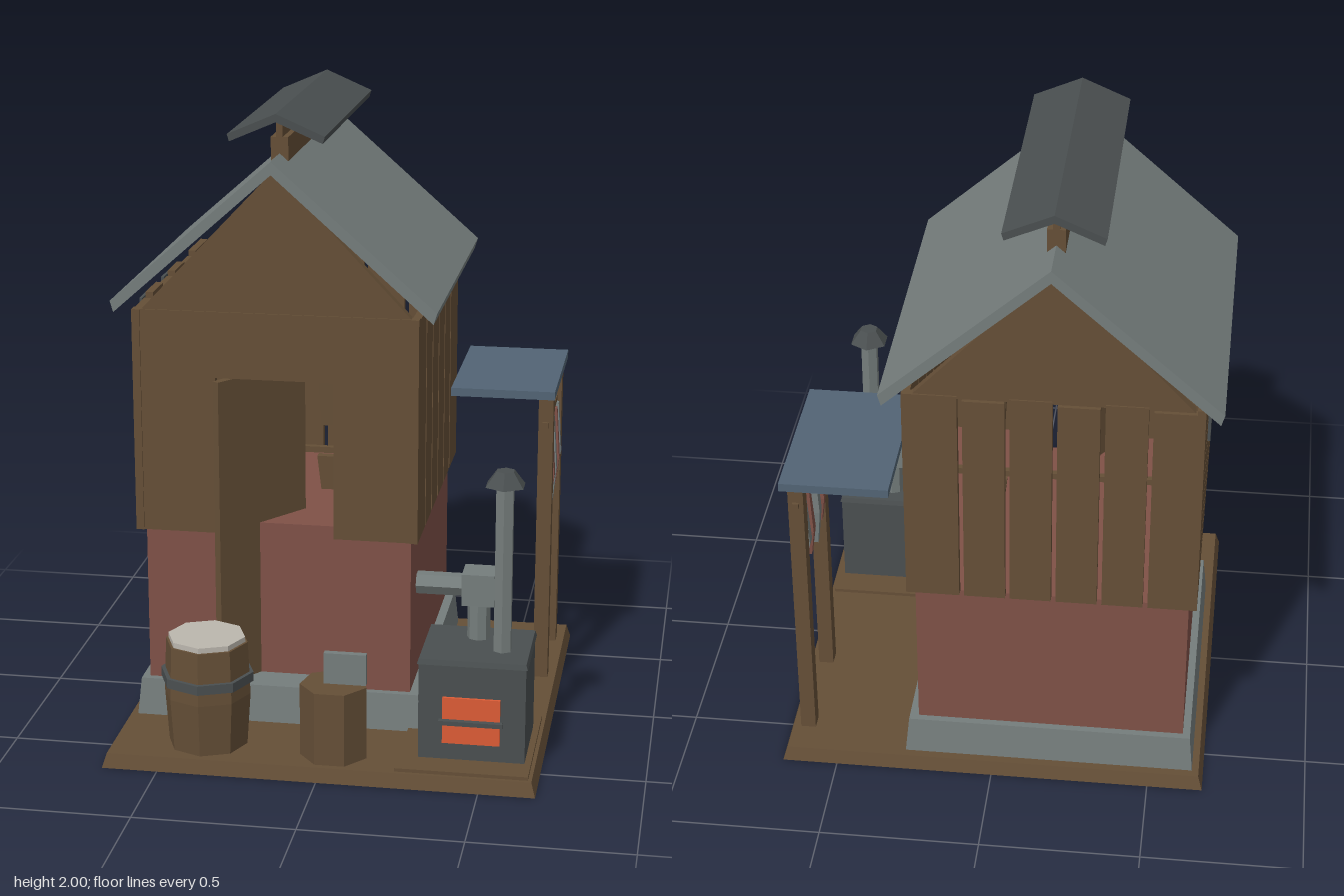
import * as THREE from 'three';

const mat = (name, color) => {
  const m = new THREE.MeshStandardMaterial({ color });
  m.name = name;
  return m;
};

export function createModel() {
  const wood = mat('brown wood', 0x654f37);
  const brick = mat('red brick', 0x7f5147);
  const grey = mat('grey metal', 0x757d7c);
  const dark = mat('dark iron', 0x4a4f50);
  const blue = mat('blue sheet', 0x526475);
  const ember = mat('ember orange', 0xdc5c36);
  const salt = mat('pale salt', 0xbcb7ae);

  const model = new THREE.Group();
  model.name = 'smokehouse';

  const add = (name, geo, material, x = 0, y = 0, z = 0, parent = model) => {
    const m = new THREE.Mesh(geo, material);
    m.name = name;
    m.position.set(x, y, z);
    parent.add(m);
    return m;
  };

  // Box from its extents; the top or bottom can be narrowed
  const box = (name, material, x0, x1, y0, y1, z0, z1, topScale = 1, bottomScale = 1) => {
    const g = new THREE.BoxGeometry(x1 - x0, y1 - y0, z1 - z0);
    const p = g.attributes.position;
    for (let i = 0; i < p.count; i++) {
      const s = p.getY(i) > 0 ? topScale : bottomScale;
      p.setX(i, p.getX(i) * s);
      p.setZ(i, p.getZ(i) * s);
    }
    g.computeVertexNormals();
    return add(name, g, material, (x0 + x1) / 2, (y0 + y1) / 2, (z0 + z1) / 2);
  };

  // Faceted upright cylinder
  const prism = (name, material, rTop, rBottom, sides, x, y0, y1, z) =>
    add(name, new THREE.CylinderGeometry(rTop, rBottom, y1 - y0, sides).toNonIndexed(),
      material, x, (y0 + y1) / 2, z).geometry.computeVertexNormals();

  // XY outline pushed along z
  const extrude = (name, material, pts, z0, z1) => {
    const shape = new THREE.Shape(pts.map(([x, y]) => new THREE.Vector2(x, y)));
    return add(name, new THREE.ExtrudeGeometry(shape, { depth: z1 - z0, bevelEnabled: false }),
      material, 0, 0, z0);
  };

  const CX = -0.18;

  // Ground platform and footing
  box('platform', wood, -0.675, 0.675, 0, 0.045, -0.675, 0.675, 0.98);
  box('footing', grey, -0.64, 0.28, 0.045, 0.165, -0.635, 0.345, 0.975);

  // Brick lower walls with a recess behind the doorway
  box('brickLeft', brick, -0.605, -0.37, 0.165, 0.675, -0.6, 0.31);
  box('brickMiddle', brick, -0.37, 0, 0.165, 0.675, -0.6, 0.22);
  box('brickRight', brick, 0, 0.24, 0.165, 0.675, -0.6, 0.31);

  // Front wall around the doorway
  box('frontPanelLeft', wood, -0.605, -0.37, 0.675, 1.39, 0.31, 0.34);
  box('frontPanelRight', wood, 0, 0.24, 0.675, 1.39, 0.31, 0.34);
  box('lintel', wood, -0.37, 0, 1.18, 1.39, 0.31, 0.34);
  for (const [x0, x1] of [[-0.63, -0.605], [0.24, 0.265]])
    box('cornerBoard', wood, x0, x1, 0.675, 1.39, 0.31, 0.345);

  // Spaced boards on both sides and the back
  for (let i = 0; i < 6; i++) {
    const z = 0.31 - i * 0.15;
    const zEnd = i === 5 ? -0.625 : z - 0.134;
    const top = 1.385 + (i % 2) * 0.015;
    box('leftBoard', wood, -0.63, -0.605, 0.675, top, zEnd, z);
    box('rightBoard', wood, 0.24, 0.265, 0.675, top, zEnd, z);
    const x = -0.605 + i * 0.141;
    box('backBoard', wood, x, x + (i === 5 ? 0.14 : 0.126), 0.675, top, -0.625, -0.6);
  }

  // Iron patches on the left wall
  box('patchLow', dark, -0.64, -0.631, 1.09, 1.39, -0.31, -0.09);
  box('patchHigh', dark, -0.64, -0.631, 1.215, 1.39, -0.02, 0.2);

  // Door leaf standing ajar into the house
  const door = new THREE.Group();
  door.name = 'door';
  door.position.set(-0.365, 0, 0.345);
  door.rotation.y = 0.94;
  model.add(door);
  add('doorLeaf', new THREE.BoxGeometry(0.37, 1.12, 0.025), wood, 0.18, 0.61, 0, door);

  // Smoking rods with hanging cuts inside
  for (const y of [1.15, 0.815]) {
    box('smokingRod', wood, -0.605, 0.24, y - 0.01, y + 0.01, -0.155, -0.135);
    for (let i = 0; i < 5; i++) {
      const x = -0.51 + i * 0.14 + (i > 2 ? 0.0 : -0.01);
      const low = Math.max(y - 0.25, 0.68);
      box('hangingCut', wood, x - 0.045, x + 0.045, low, y - 0.02, -0.16, -0.13, 1, 0.72);
    }
  }

  // Gables
  const gable = [[CX - 0.42, 1.39], [CX + 0.42, 1.39], [CX, 1.835]];
  extrude('frontGable', wood, gable, 0.305, 0.335);
  extrude('backGable', wood, gable, -0.62, -0.59);

  // Folded roofs
  const roof = (name, material, half, ridge, eave, drop, z0, z1) =>
    extrude(name, material, [
      [CX, ridge], [CX - half, eave], [CX - half + drop * 0.3, eave - drop],
      [CX, ridge - drop * 1.15], [CX + half - drop * 0.3, eave - drop], [CX + half, eave],
    ], z0, z1);
  roof('roof', grey, 0.505, 1.87, 1.425, 0.035, -0.68, 0.39);
  box('ridgeVent', wood, CX - 0.027, CX + 0.027, 1.845, 1.92, -0.53, 0.245);
  box('ventTop', wood, CX - 0.01, CX + 0.01, 1.92, 1.975, -0.53, 0.245);
  roof('ventRoof', dark, 0.15, 2.0, 1.935, 0.022, -0.595, 0.305);

  // Drying canopy with posts, rail and hanging pieces
  box('canopy', blue, 0.31, 0.645, 1.03, 1.057, -0.635, -0.1);
  for (const z of [-0.197, -0.53])
    box('canopyPost', wood, 0.588, 0.636, 0.045, 1.03, z - 0.026, z + 0.026);
  box('dryingRail', wood, 0.602, 0.622, 0.915, 0.935, -0.565, -0.16);
  [[-0.235, 0.65, brick], [-0.315, 0.62, grey], [-0.42, 0.65, brick], [-0.485, 0.7, grey]]
    .forEach(([z, low, m]) => {
      box('hangingPiece', m, 0.585, 0.64, 0.74, 0.915, z - 0.018, z + 0.018, 0.6);
      box('hangingPieceTip', m, 0.585, 0.64, low, 0.74, z - 0.018, z + 0.018, 1, 0.6);
    });

  // Stove on its hearth plate
  box('hearth', wood, 0.24, 0.65, 0.045, 0.056, 0.17, 0.65);
  box('stoveBody', dark, 0.3, 0.63, 0.056, 0.37, 0.265, 0.555);
  box('stoveTop', dark, 0.295, 0.635, 0.365, 0.382, 0.26, 0.56, 0.97);
  box('fireOpening', ember, 0.375, 0.553, 0.112, 0.262, 0.555, 0.564);
  box('fireBar', dark, 0.365, 0.562, 0.178, 0.192, 0.564, 0.582);
  prism('chimney', grey, 0.03, 0.03, 6, 0.545, 0.38, 0.92, 0.445);
  prism('chimneyCap', dark, 0.03, 0.066, 6, 0.545, 0.915, 0.962, 0.445);

  // Smoke duct to the house
  prism('ductRiser', grey, 0.036, 0.036, 8, 0.46, 0.38, 0.5, 0.345);
  box('ductElbow', grey, 0.41, 0.512, 0.5, 0.602, 0.295, 0.395);
  const duct = new THREE.CylinderGeometry(0.036, 0.036, 0.15, 6).toNonIndexed();
  duct.computeVertexNormals();
  duct.rotateZ(Math.PI / 2);
  add('ductPipe', duct, grey, 0.34, 0.552, 0.345);

  // Salt barrel
  const bx = -0.37, bz = 0.515;
  prism('barrelLower', wood, 0.137, 0.125, 8, bx, 0.045, 0.215, bz);
  prism('barrelUpper', wood, 0.13, 0.137, 8, bx, 0.215, 0.385, bz);
  prism('barrelHoop', dark, 0.147, 0.147, 8, bx, 0.257, 0.287, bz);
  prism('barrelSalt', salt, 0.122, 0.122, 8, bx, 0.38, 0.402, bz);

  // Chopping stump with a blade
  const stump = new THREE.CylinderGeometry(0.107, 0.107, 0.235, 7).toNonIndexed();
  stump.computeVertexNormals();
  stump.rotateY(Math.PI);
  add('stump', stump, wood, 0.037, 0.1625, 0.545);
  box('blade', grey, 0.005, 0.137, 0.28, 0.38, 0.533, 0.555);

  return model;
}
